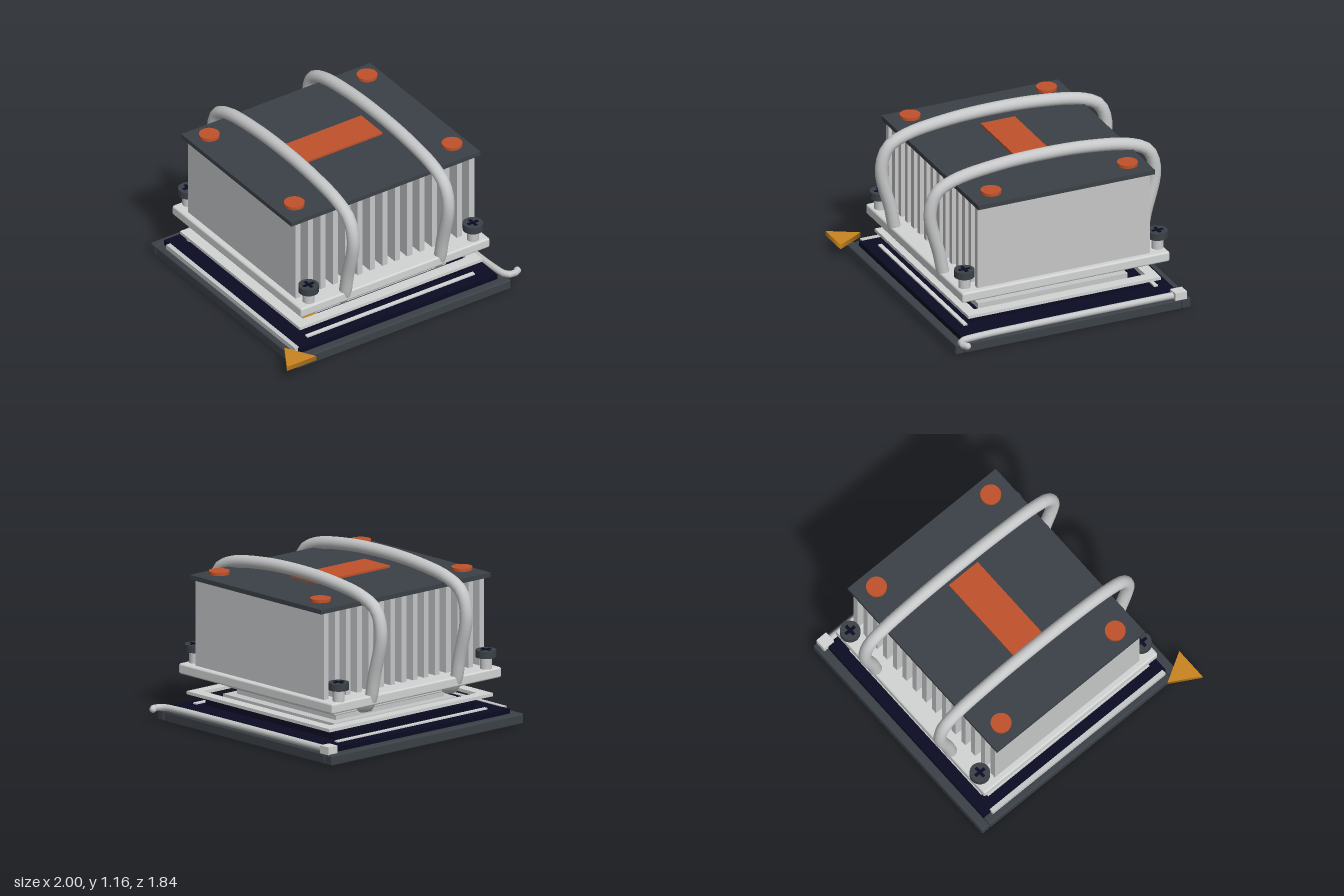
import * as THREE from 'three';
import { RoundedBoxGeometry } from 'three/addons/geometries/RoundedBoxGeometry.js';

export function createModel() {
  const model = new THREE.Group();
  model.name = 'processorCooler';
  const mat = (name, color) => {
    const m = new THREE.MeshStandardMaterial({ color });
    m.name = name;
    return m;
  };
  const dark = mat('dark grey', 0x3b4147);
  const navy = mat('navy board', 0x0b0b22);
  const silver = mat('silver', 0xc6c7c8);
  const pale = mat('pale metal', 0xd2d4d4);
  const red = mat('orange red', 0xc0522b);
  const gold = mat('gold', 0xc98420);

  const CX = 0.018, CZ = -0.04; // centre of the stack

  function add(name, geometry, material, x = 0, y = 0, z = 0) {
    const mesh = new THREE.Mesh(geometry, material);
    mesh.name = name;
    mesh.position.set(x, y, z);
    model.add(mesh);
    return mesh;
  }
  // Box given by its limits, with optional rounded edges
  function box(name, material, x0, x1, y0, y1, z0, z1, r = 0) {
    const s = [x1 - x0, y1 - y0, z1 - z0];
    const g = r ? new RoundedBoxGeometry(...s, 2, r) : new THREE.BoxGeometry(...s);
    return add(name, g, material, (x0 + x1) / 2, (y0 + y1) / 2, (z0 + z1) / 2);
  }
  const disc = (name, material, r, y0, y1, x, z, sides = 24) =>
    add(name, new THREE.CylinderGeometry(r, r, y1 - y0, sides), material, x, (y0 + y1) / 2, z);

  // Socket frame and board
  box('frameBack', dark, -0.86, 0.895, 0, 0.075, -0.92, -0.852, 0.012);
  box('frameFront', dark, -0.86, 0.895, 0, 0.075, 0.767, 0.835, 0.012);
  box('frameLeft', dark, 0.827, 0.895, 0, 0.075, -0.852, 0.767, 0.012);
  box('frameRight', dark, -0.86, -0.792, 0, 0.075, -0.852, 0.767, 0.012);
  box('board', navy, -0.793, 0.828, 0.012, 0.105, -0.853, 0.768);
  for (const z of [0.67, -0.75]) box('socketBar', pale, -0.67, 0.70, 0.1, 0.115, z - 0.015, z + 0.015);
  box('sideRail', silver, -0.818, -0.785, 0.07, 0.11, -0.79, 0.75);

  // Retention lever with hinge block
  const leverPath = new THREE.CatmullRomCurve3([
    [0.85, 0.095, -0.82], [0.85, 0.095, -0.3], [0.855, 0.095, 0.3], [0.865, 0.095, 0.66],
    [0.885, 0.095, 0.78], [0.93, 0.095, 0.81], [0.985, 0.095, 0.785],
  ].map(p => new THREE.Vector3(...p)));
  add('lever', new THREE.TubeGeometry(leverPath, 40, 0.024, 10), silver);
  add('leverTip', new THREE.SphereGeometry(0.024, 10, 8), silver, 0.976, 0.095, 0.785);
  box('leverHinge', pale, 0.812, 0.895, 0.072, 0.127, -0.89, -0.803);

  // Processor package with small components around its edge
  box('package', navy, -0.625, 0.66, 0.1, 0.147, -0.685, 0.605);
  for (let i = -3; i <= 3; i++) {
    for (const z of [0.57, -0.65]) box('capacitor', navy, CX + i * 0.151 - 0.025, CX + i * 0.151 + 0.025, 0.14, 0.158, z - 0.017, z + 0.017);
    for (const x of [-0.59, 0.622]) box('capacitor', navy, x - 0.017, x + 0.017, 0.14, 0.158, i * 0.162 - 0.028, i * 0.162 + 0.028);
  }
  box('heatSpreader', silver, -0.54, 0.577, 0.14, 0.186, -0.595, 0.52);

  // Clamping frame with an open middle
  box('clampFront', pale, -0.73, 0.765, 0.185, 0.207, 0.60, 0.68);
  box('clampBack', pale, -0.73, 0.765, 0.185, 0.207, -0.755, -0.675);
  box('clampRight', pale, -0.73, -0.65, 0.185, 0.207, -0.675, 0.60);
  box('clampLeft', pale, 0.685, 0.765, 0.185, 0.207, -0.675, 0.60);

  // Contact layers and heat sink base
  box('contactLayer', silver, -0.48, 0.506, 0.18, 0.235, -0.535, 0.46);
  box('coldPlate', pale, -0.518, 0.552, 0.23, 0.312, -0.575, 0.50, 0.008);
  box('coldPlateNeck', silver, -0.50, 0.53, 0.30, 0.33, -0.55, 0.48);
  box('sinkBase', pale, -0.757, 0.79, 0.322, 0.395, -0.812, 0.735, 0.014);

  // Fins and cover plate
  for (let i = -7; i <= 7; i++) {
    const x = CX + i * 0.1015;
    box('fin', silver, x - 0.021, x + 0.021, 0.385, 1.003, -0.682, 0.605);
  }
  box('coverPlate', dark, -0.757, 0.79, 1.0, 1.032, -0.70, 0.618);
  box('coverPanel', red, -0.318, 0.355, 1.042, 1.057, -0.172, 0.083);
  for (const x of [-0.628, 0.663]) for (const z of [-0.553, 0.464])
    disc('coverPad', red, 0.071, 1.048, 1.069, x, z);

  // Corner screws with cross recesses
  for (const x of [-0.655, 0.69]) for (const z of [-0.765, 0.675]) {
    disc('screwPost', silver, 0.041, 0.385, 0.48, x, z);
    disc('screwHead', dark, 0.07, 0.475, 0.525, x, z);
    box('screwCross', navy, x - 0.042, x + 0.042, 0.522, 0.529, z - 0.011, z + 0.011);
    box('screwCross', navy, x - 0.011, x + 0.011, 0.522, 0.528, z - 0.042, z + 0.042);
  }

  // Heat pipes arching over the fins
  const half = [[0.65, 0.295], [0.715, 0.32], [0.77, 0.53], [0.838, 0.83], [0.79, 0.985], [0.66, 1.055], [0.35, 1.105]];
  const profile = [...half, [0, 1.12], ...half.slice().reverse().map(([d, y]) => [-d, y])];
  for (const x of [-0.373, 0.405]) {
    const path = new THREE.CatmullRomCurve3(profile.map(([d, y]) => new THREE.Vector3(x, y, CZ + d)));
    add('heatPipe', new THREE.TubeGeometry(path, 56, 0.044, 16), silver);
    for (const d of [0.65, -0.65])
      add('heatPipeEnd', new THREE.SphereGeometry(0.044, 16, 10), silver, x, 0.295, CZ + d);
  }

  // Triangular orientation markers
  function marker(name, r, y0, y1, x, z) {
    const m = disc(name, gold, r, y0, y1, x, z, 3);
    m.rotation.y = Math.PI;
  }
  marker('cornerMarker', 0.138, 0.087, 0.12, -0.88, 0.852);
  marker('packageMarker', 0.09, 0.147, 0.165, -0.558, 0.53);
  return model;
}
